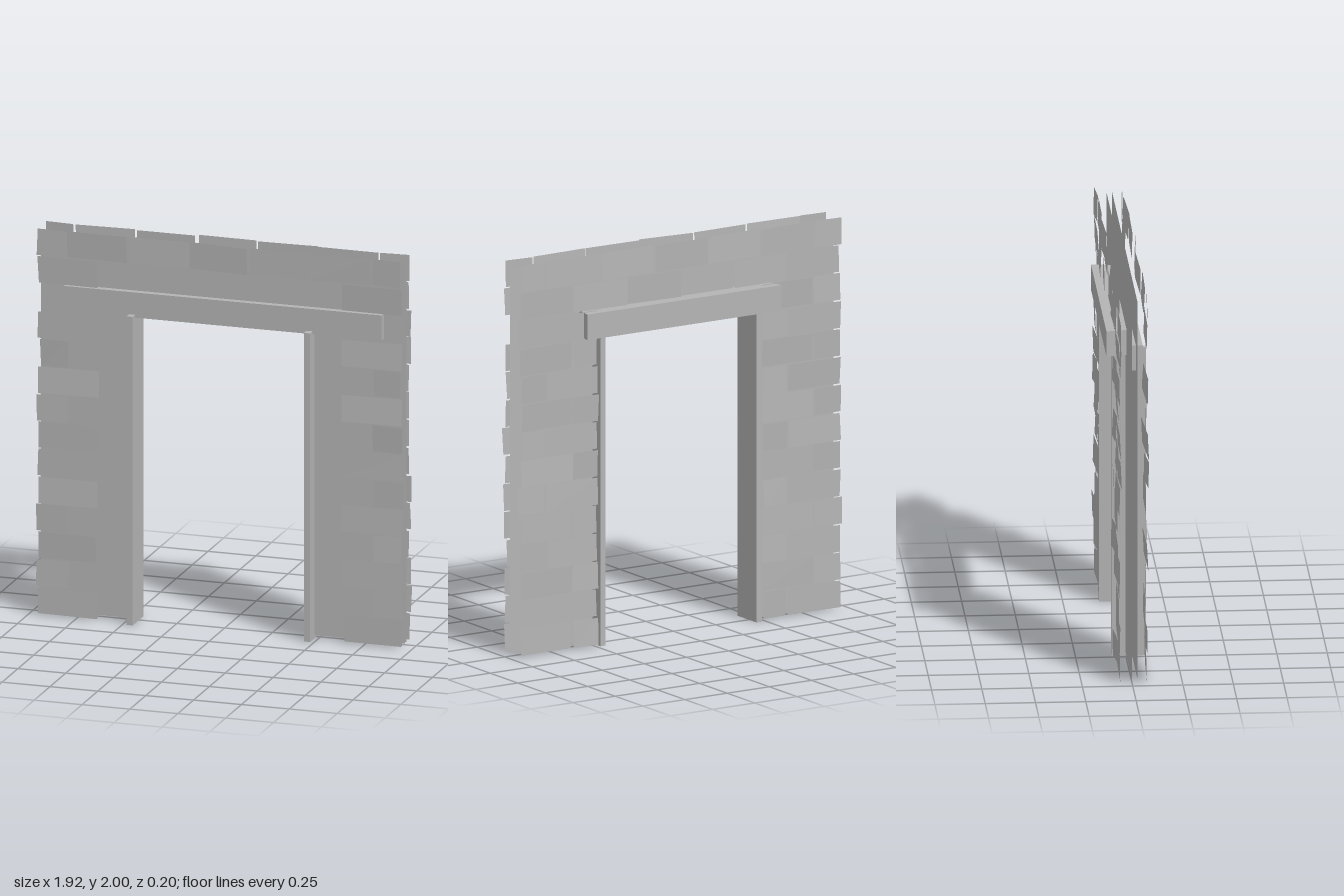
import * as THREE from 'three';

export function createModel() {
  const root = new THREE.Group();
  root.name = 'stoneDoorway';
  const stone = new THREE.MeshStandardMaterial({ color: 0xb4b4b4, side: THREE.DoubleSide, flatShading: true });
  stone.name = 'greyStone';

  // small seeded generator, -1..1
  let seed = 7;
  const rnd = () => {
    seed = (seed * 16807) % 2147483647;
    return (seed / 2147483647) * 2 - 1;
  };

  const add = (geometry, name, parent = root) => {
    const mesh = new THREE.Mesh(geometry, stone);
    mesh.name = name;
    parent.add(mesh);
    return mesh;
  };

  // two core sheets with the door opening cut out
  const wall = new THREE.Shape([
    [-0.95, 0.015], [-0.46, 0.015], [-0.46, 1.59], [0.46, 1.59],
    [0.46, 0.015], [0.95, 0.015], [0.95, 1.97], [-0.95, 1.97],
  ].map(([x, y]) => new THREE.Vector2(x, y)));
  for (const [name, z, turn] of [['frontWallSheet', 0.028, 0], ['backWallSheet', 0, Math.PI]]) {
    const sheet = add(new THREE.ShapeGeometry(wall), name);
    sheet.position.z = z;
    sheet.rotation.y = turn;
  }

  // door posts
  for (const side of [-1, 1]) {
    const post = add(new THREE.BoxGeometry(0.032, 1.595, 0.172), side < 0 ? 'rightPost' : 'leftPost');
    post.position.set(side * 0.463, 0.7975, 0.016);
  }

  // lintels: boxes whose ends taper towards the wall
  const lintel = (name, x0, x1, z0, z1, innerZ, taper) => {
    const g = new THREE.BoxGeometry(x1 - x0, 0.13, z1 - z0);
    g.translate((x0 + x1) / 2, 1.645, (z0 + z1) / 2);
    const p = g.attributes.position;
    for (let i = 0; i < p.count; i++) {
      if (Math.abs(p.getZ(i) - innerZ) < 1e-4) p.setX(i, p.getX(i) - Math.sign(p.getX(i)) * taper);
    }
    g.computeVertexNormals();
    add(g, name);
  };
  lintel('frontLintel', -0.82, 0.84, 0, 0.062, 0, 0);
  lintel('backLintel', -0.573, 0.577, -0.102, 0, 0, 0.02);

  // thin stone plates, slightly tilted
  const frontStones = new THREE.Group();
  frontStones.name = 'frontStones';
  const backStones = new THREE.Group();
  backStones.name = 'backStones';
  root.add(frontStones, backStones);

  const plate = (x0, x1, y0, y1, front, tilt = rnd() * 0.007) => {
    const w = x1 - x0, h = y1 - y0;
    const g = new THREE.PlaneGeometry(w, h);
    const p = g.attributes.position;
    const lean = rnd() * 0.004;
    for (let i = 0; i < p.count; i++) {
      p.setZ(i, (p.getX(i) / w) * 2 * tilt + (p.getY(i) / h) * 2 * lean);
      p.setX(i, p.getX(i) + rnd() * 0.004);
    }
    if (!front) g.rotateY(Math.PI);
    g.computeVertexNormals();
    const m = add(g, 'stonePlate', front ? frontStones : backStones);
    m.position.set((x0 + x1) / 2, (y0 + y1) / 2, front ? 0.075 + rnd() * 0.005 : -0.06 + rnd() * 0.007);
  };

  // corner stones up both jambs: long and short in turn
  const rows = 12, pitch = 0.1425, height = 0.136;
  const rowY = (r) => 0.01 + r * pitch;
  for (let r = 0; r <= rows; r++) {
    const y = rowY(r), long = r % 2 === 0;
    const inner = long ? 0.64 : 0.797;
    if (r === 11) {
      // course beside the lintel
      for (const s of [-1, 1]) {
        plate(s < 0 ? -0.95 : 0.797, s < 0 ? -0.797 : 0.955, y, y + height, false);
        plate(s < 0 ? -0.79 : 0.49, s < 0 ? -0.49 : 0.79, y, y + height, false);
      }
      continue;
    }
    for (const s of [-1, 1]) {
      const outer = 0.95 + (long ? 0 : rnd() * 0.012);
      const span = (a, b, front) => plate(Math.min(s * a, s * b), Math.max(s * a, s * b), y, y + height, front);
      span(inner + rnd() * 0.006, outer, true);
      span(inner + rnd() * 0.006, 0.95 + rnd() * 0.008, false);
      if (r < rows) span(0.49, inner - 0.01, false);
    }
  }

  // back course above the lintel
  for (let i = 0; i < 4; i++) {
    plate(-0.63 + i * 0.316, -0.63 + i * 0.316 + 0.308, rowY(rows), rowY(rows) + height, false);
  }

  // top course on both faces
  const joints = [-0.953, -0.796, -0.479, -0.16, 0.156, 0.474, 0.793, 0.953];
  for (const front of [true, false]) {
    for (let i = 0; i < 7; i++) {
      const tilt = front && i === 3 ? 0.014 : undefined;
      plate(joints[i], joints[i + 1] - 0.009, 1.862, 1.998, front, tilt);
    }
  }
  return root;
}
